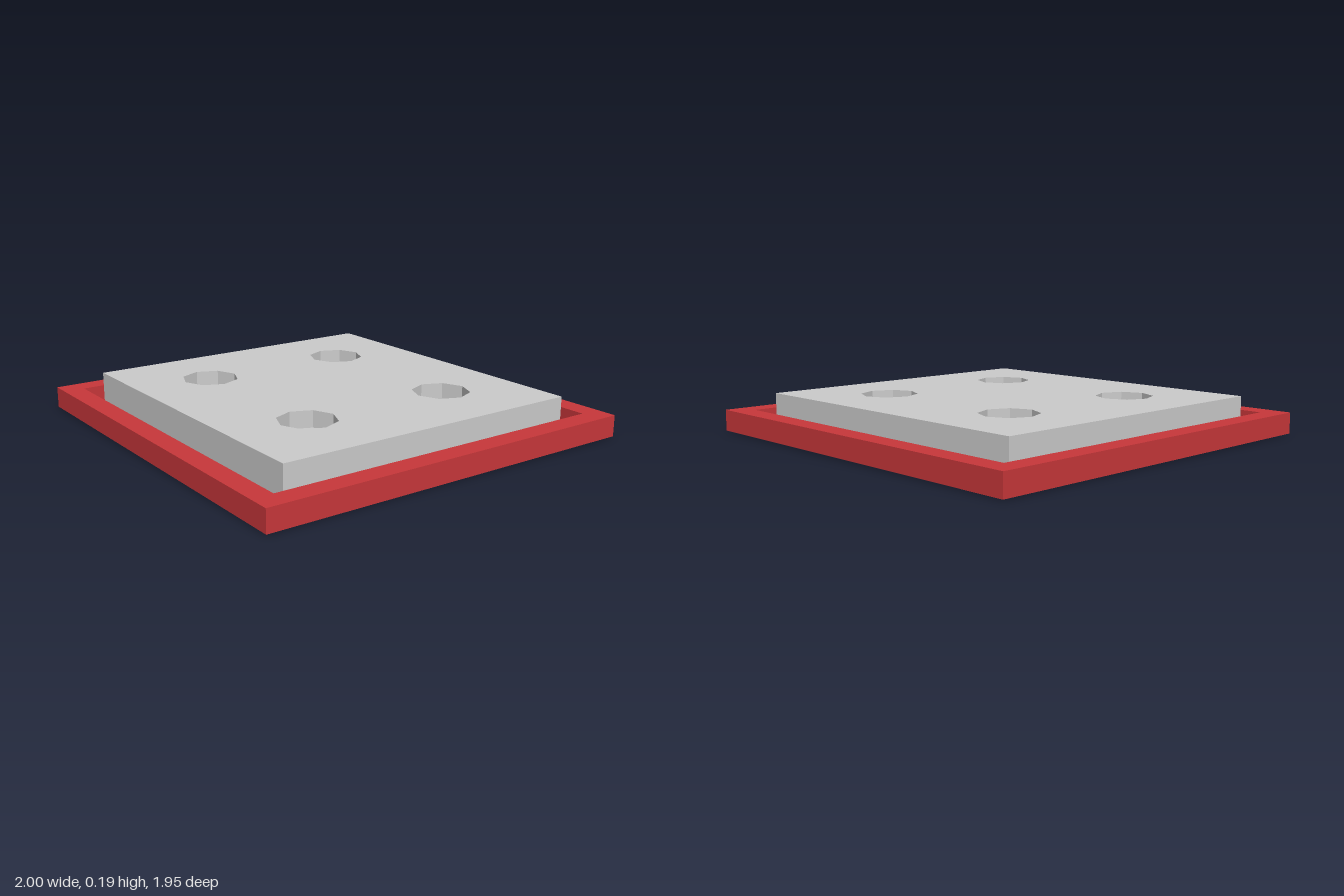
import * as THREE from 'three';

const RIM_Y = 0.11, BASE_Y = 0.005, TOP_Y = 0.193;
const OUTER = { x0: -1, x1: 1, z0: -0.976, z1: 0.976 };
const TRAY = { x0: -0.896, x1: 0.894, z0: -0.872, z1: 0.873 };
const PLATE = { x0: -0.839, x1: 0.831, z0: -0.79, z1: 0.788 };
const HOLE_R = 0.141, HOLE_FLOOR = 0.11;

const red = new THREE.MeshStandardMaterial({ color: 0xc8373a, flatShading: true, side: THREE.DoubleSide });
const grey = new THREE.MeshStandardMaterial({ color: 0xcccccc, flatShading: true, side: THREE.DoubleSide });

// Corners of a rectangle in shape space, where shape y is -z
const corners = (r) => [[r.x0, -r.z1], [r.x1, -r.z1], [r.x1, -r.z0], [r.x0, -r.z0]]
  .map(([x, y]) => new THREE.Vector2(x, y));

// Horizontal sheet facing up, with optional holes
function sheet(r, y, holes = []) {
  const shape = new THREE.Shape(corners(r));
  holes.forEach((points) => shape.holes.push(new THREE.Path(points)));
  return new THREE.ShapeGeometry(shape).rotateX(-Math.PI / 2).translate(0, y, 0);
}

// Four upright walls around a rectangle, open above and below
function walls(r, y0, y1) {
  const pos = [], index = [];
  const loop = corners(r);
  loop.forEach((a, i) => {
    const b = loop[(i + 1) % 4], n = i * 4;
    pos.push(a.x, y0, -a.y, b.x, y0, -b.y, b.x, y1, -b.y, a.x, y1, -a.y);
    index.push(n, n + 1, n + 2, n, n + 2, n + 3);
  });
  const g = new THREE.BufferGeometry();
  g.setAttribute('position', new THREE.Float32BufferAttribute(pos, 3));
  g.setIndex(index);
  g.computeVertexNormals();
  return g;
}

function add(parent, name, geometry, material) {
  const mesh = new THREE.Mesh(geometry, material);
  mesh.name = name;
  parent.add(mesh);
}

export function createModel() {
  const model = new THREE.Group();
  model.name = 'framedPlate';

  // Hollow frame: outer skirt, flat rim and sunken tray
  const frame = new THREE.Group();
  frame.name = 'frame';
  add(frame, 'outerSkirt', walls(OUTER, BASE_Y, RIM_Y), red);
  add(frame, 'rim', sheet(OUTER, RIM_Y, [corners(TRAY)]), red);
  add(frame, 'trayWalls', walls(TRAY, BASE_Y, RIM_Y), red);
  add(frame, 'trayFloor', sheet(TRAY, BASE_Y), red);
  model.add(frame);

  // Raised plate, open underneath
  const plate = new THREE.Group();
  plate.name = 'plate';
  const centres = [];
  for (const x of [-0.432, 0.423]) for (const z of [-0.394, 0.389]) centres.push([x, z]);
  const octagons = centres.map(([x, z]) => Array.from({ length: 8 }, (_, i) => {
    const a = -i * Math.PI / 4;
    return new THREE.Vector2(x + HOLE_R * Math.cos(a), -z + HOLE_R * Math.sin(a));
  }));
  add(plate, 'plateSides', walls(PLATE, 0, TOP_Y), grey);
  add(plate, 'plateTop', sheet(PLATE, TOP_Y, octagons), grey);

  // Eight-sided sockets
  const depth = TOP_Y - HOLE_FLOOR;
  for (const [x, z] of centres) {
    add(plate, 'socketWall', new THREE.CylinderGeometry(HOLE_R, HOLE_R, depth, 8, 1, true)
      .translate(x, HOLE_FLOOR + depth / 2, z), grey);
    add(plate, 'socketFloor', new THREE.CircleGeometry(HOLE_R, 8)
      .rotateX(-Math.PI / 2).translate(x, HOLE_FLOOR, z), grey);
  }
  model.add(plate);
  return model;
}
